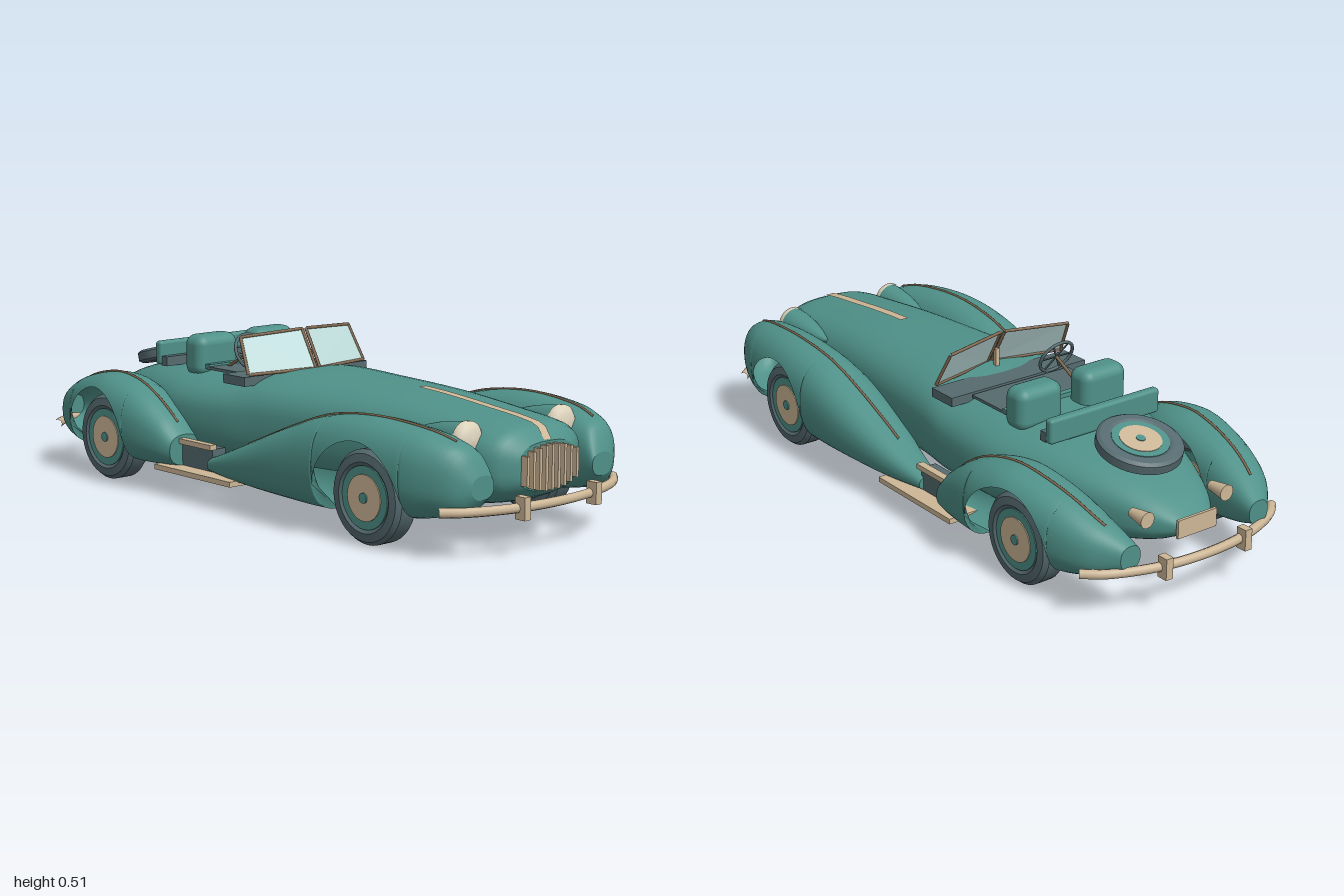
import * as THREE from 'three';
import { toCreasedNormals } from 'three/addons/utils/BufferGeometryUtils.js';
import { RoundedBoxGeometry } from 'three/addons/geometries/RoundedBoxGeometry.js';

const V = (x, y, z) => new THREE.Vector3(x, y, z);
const mat = (name, color, side = THREE.FrontSide) => {
  const m = new THREE.MeshStandardMaterial({ color, side });
  m.name = name;
  return m;
};

// Smooth interpolation of table rows [z, a, b, ...] sorted by falling z
function sample(rows, z) {
  let i = 0;
  while (i < rows.length - 2 && z < rows[i + 1][0]) i++;
  const p = rows[i], q = rows[i + 1], h = q[0] - p[0];
  const t = (z - p[0]) / h;
  const slope = (k, c) => {
    const a = rows[Math.max(k - 1, 0)], b = rows[Math.min(k + 1, rows.length - 1)];
    return (b[c] - a[c]) / (b[0] - a[0]);
  };
  return p.slice(1).map((v, n) => {
    const c = n + 1, t2 = t * t, t3 = t2 * t;
    return v * (2 * t3 - 3 * t2 + 1) + q[c] * (3 * t2 - 2 * t3)
      + h * (slope(i, c) * (t3 - 2 * t2 + t) + slope(i + 1, c) * (t3 - t2));
  });
}

// Skin over sections running front to back, points counterclockwise seen from the front
function loft(sections, capped = true) {
  const pos = [], idx = [], n = sections[0].length;
  sections.forEach(s => s.forEach(p => pos.push(p.x, p.y, p.z)));
  for (let i = 0; i < sections.length - 1; i++) {
    for (let j = 0; j < n - 1; j++) {
      const a = i * n + j, b = a + n;
      idx.push(a, b, a + 1, b, b + 1, a + 1);
    }
  }
  const cap = (s, flip) => {
    const base = pos.length / 3, mid = V(0, 0, 0);
    s.forEach(p => { pos.push(p.x, p.y, p.z); mid.addScaledVector(p, 1 / n); });
    pos.push(mid.x, mid.y, mid.z);
    for (let j = 0; j < n - 1; j++) {
      if (flip) idx.push(base + n, base + j + 1, base + j);
      else idx.push(base + n, base + j, base + j + 1);
    }
  };
  if (capped) { cap(sections[0], false); cap(sections[sections.length - 1], true); }
  const g = new THREE.BufferGeometry();
  g.setAttribute('position', new THREE.Float32BufferAttribute(pos, 3));
  g.setIndex(idx);
  g.computeVertexNormals();
  return g;
}

// Rounded section between x0..x1 and y0..y1, open below height cut
function section(x0, x1, y1, y0, z, power, cut, steps) {
  const cx = (x0 + x1) / 2, cy = (y0 + y1) / 2, rx = (x1 - x0) / 2, ry = (y1 - y0) / 2;
  const pw = v => Math.sign(v) * Math.abs(v) ** (2 / power);
  const k = THREE.MathUtils.clamp((cut - cy) / ry, -1, 0.98);
  const start = Math.asin(Math.sign(k) * Math.abs(k) ** (power / 2));
  return Array.from({ length: steps + 1 }, (_, j) => {
    const a = start + (Math.PI - 2 * start) * j / steps;
    return V(cx + rx * pw(Math.cos(a)), cy + ry * pw(Math.sin(a)), z);
  });
}

const range = (a, b, n) => Array.from({ length: n + 1 }, (_, i) => a + (b - a) * i / n);

// Body rows: z, half width, top, bottom
const BODY = [[0.935, 0.115, 0.3, 0.165], [0.91, 0.16, 0.333, 0.145], [0.86, 0.185, 0.347, 0.125],
  [0.75, 0.195, 0.36, 0.105], [0.5, 0.212, 0.383, 0.092], [0.2, 0.24, 0.392, 0.09], [0, 0.262, 0.393, 0.09],
  [-0.12, 0.277, 0.375, 0.09], [-0.35, 0.285, 0.37, 0.092], [-0.5, 0.255, 0.365, 0.097], [-0.62, 0.22, 0.35, 0.103],
  [-0.75, 0.172, 0.318, 0.12], [-0.86, 0.12, 0.275, 0.15], [-0.93, 0.065, 0.235, 0.185]];
// Wing rows: z, inner x, outer x, top, bottom
const FRONT_WING = [[0.925, 0.2, 0.285, 0.235, 0.168], [0.9, 0.198, 0.325, 0.295, 0.135], [0.85, 0.197, 0.36, 0.325, 0.118],
  [0.76, 0.197, 0.392, 0.347, 0.1], [0.58, 0.2, 0.414, 0.358, 0.08], [0.4, 0.2, 0.414, 0.337, 0.072], [0.25, 0.205, 0.408, 0.287, 0.075],
  [0.1, 0.225, 0.39, 0.225, 0.08], [0, 0.25, 0.372, 0.183, 0.086], [-0.115, 0.275, 0.345, 0.138, 0.095]];
const REAR_WING = [[-0.25, 0.26, 0.38, 0.19, 0.095], [-0.3, 0.25, 0.397, 0.24, 0.09], [-0.4, 0.23, 0.418, 0.305, 0.085],
  [-0.5, 0.205, 0.426, 0.335, 0.085], [-0.6, 0.2, 0.421, 0.341, 0.085], [-0.75, 0.198, 0.387, 0.31, 0.09],
  [-0.86, 0.198, 0.342, 0.262, 0.112], [-0.94, 0.2, 0.27, 0.215, 0.145]];

export function createModel() {
  const car = new THREE.Group();
  car.name = 'roadster';
  const paint = mat('teal paint', 0x4f9189, THREE.DoubleSide);
  const chrome = mat('beige trim', 0xcdb797);
  const lens = mat('cream lens', 0xe0d6bf);
  const rubber = mat('slate rubber', 0x566b70);
  const bronze = mat('brown trim', 0x806850);
  const glass = mat('pale glass', 0xbfdddc, THREE.DoubleSide);

  const add = (parent, name, geometry, material, x = 0, y = 0, z = 0) => {
    const m = new THREE.Mesh(geometry, material);
    m.name = name;
    m.position.set(x, y, z);
    parent.add(m);
    return m;
  };
  const box = (parent, name, material, w, h, d, x, y, z) =>
    add(parent, name, new THREE.BoxGeometry(w, h, d), material, x, y, z);
  const tube = (parent, name, points, radius, material, steps = 40) =>
    add(parent, name, new THREE.TubeGeometry(new THREE.CatmullRomCurve3(points), steps, radius, 8), material);

  // Main body
  add(car, 'body', loft(range(0.935, -0.93, 70).map(z => {
    const [w, top, bottom] = sample(BODY, z);
    return section(-w, w, top, bottom, z, 2.8, -1, 48);
  })), paint);

  // Bonnet strip and grille bars
  add(car, 'bonnetStrip', loft(range(0.935, 0.45, 20).map(z => {
    const y = sample(BODY, z)[1] + 0.004;
    return [V(0.015, y, z), V(-0.015, y, z)];
  }), false), chrome);
  for (let i = -4; i <= 4; i++) {
    const h = 0.128 - 0.0028 * i * i;
    box(car, 'grilleBar', chrome, 0.01, h, 0.03, i * 0.025, 0.23, 0.942);
  }

  // Wheel with its axis along y
  const tyre = toCreasedNormals(new THREE.LatheGeometry([[0, -0.034], [0.088, -0.034], [0.1, -0.043], [0.124, -0.04],
    [0.135, -0.026], [0.135, 0.026], [0.124, 0.04], [0.1, 0.043], [0.088, 0.034], [0, 0.034]]
    .map(p => new THREE.Vector2(...p)), 40), 0.5);
  const makeWheel = name => {
    const w = new THREE.Group();
    w.name = name;
    add(w, 'tyre', tyre, rubber);
    [['rim', 0.09, 0.078, paint], ['hubcap', 0.066, 0.084, chrome], ['hubNut', 0.015, 0.092, paint]]
      .forEach(([n, r, h, m]) => add(w, n, new THREE.CylinderGeometry(r, r, h, 32), m));
    return w;
  };

  // Wing open around its wheel, with a crest strip
  const makeWing = (parent, name, rows, wheelZ, stripFrom, stripTo) => {
    const R = 0.162, first = rows[0][0], last = rows[rows.length - 1][0];
    const zs = range(first, last, 70);
    for (const e of [-R, R]) zs.push(wheelZ + e - 0.001, wheelZ + e + 0.001);
    zs.sort((a, b) => b - a);
    add(parent, name, loft(zs.map(z => {
      const [x0, x1, top, bottom] = sample(rows, z), d = z - wheelZ;
      const cut = Math.abs(d) < R ? 0.138 + Math.sqrt(R * R - d * d) : -1;
      return section(x0, x1, top, bottom, z, 2.4, cut, 32);
    })), paint);
    tube(parent, name + 'Strip', range(stripFrom, stripTo, 14).map(z => {
      const [x0, x1, top] = sample(rows, z);
      return V((x0 + x1) / 2, top + 0.001, z);
    }), 0.004, bronze);
  };

  // Parts repeated on both sides
  for (const s of [1, -1]) {
    const side = new THREE.Group();
    side.name = s > 0 ? 'leftSide' : 'rightSide';
    side.scale.x = s;
    car.add(side);
    makeWing(side, 'frontWing', FRONT_WING, 0.59, 0.86, 0.04);
    makeWing(side, 'rearWing', REAR_WING, -0.6, -0.28, -0.87);
    for (const [n, z] of [['frontWheel', 0.59], ['rearWheel', -0.6]]) {
      const w = makeWheel(n);
      w.rotation.z = -Math.PI / 2;
      w.position.set(0.322, 0.137, z);
      side.add(w);
    }
    box(side, 'runningBoard', chrome, 0.1, 0.016, 0.36, 0.335, 0.088, -0.14);
    box(side, 'sillBar', chrome, 0.024, 0.016, 0.16, 0.332, 0.172, -0.18);
    box(side, 'sillPanel', rubber, 0.05, 0.07, 0.15, 0.305, 0.13, -0.18);

    // Headlamp: tapering shell and domed lens
    const shell = new THREE.LatheGeometry([[0.004, -0.2], [0.022, -0.15], [0.038, -0.09], [0.047, -0.03], [0.049, 0]]
      .map(p => new THREE.Vector2(...p)), 28);
    add(side, 'headlampShell', shell, paint, 0.19, 0.31, 0.81).rotation.x = Math.PI / 2;
    const dome = new THREE.LatheGeometry([[0.051, -0.008], [0.052, 0.008], [0.042, 0.018], [0.022, 0.024], [0, 0.026]]
      .map(p => new THREE.Vector2(...p)), 28);
    add(side, 'headlampLens', dome, lens, 0.19, 0.31, 0.812).rotation.x = Math.PI / 2;
    add(side, 'tailLamp', new THREE.CylinderGeometry(0.014, 0.024, 0.065, 20), chrome, 0.145, 0.25, -0.87).rotation.x = Math.PI / 2;

    // Windscreen half: glass and slim frame
    const c = [V(0.008, 0.39, 0), V(0.235, 0.387, -0.05), V(0.22, 0.494, -0.104), V(0.008, 0.505, -0.065)];
    const pane = new THREE.BufferGeometry().setFromPoints([c[0], c[1], c[2], c[0], c[2], c[3]]);
    pane.computeVertexNormals();
    add(side, 'windscreenGlass', pane, glass);
    c.forEach((p, i) => {
      const q = c[(i + 1) % 4];
      add(side, 'windscreenFrame', new THREE.TubeGeometry(new THREE.LineCurve3(p, q), 1, 0.005, 8), bronze);
    });

    add(side, 'seatBack', new RoundedBoxGeometry(0.16, 0.13, 0.09, 4, 0.032), paint, 0.118, 0.405, -0.368);
    for (const z of [0.98, -0.98]) box(side, 'overrider', chrome, 0.024, 0.064, 0.036, 0.145, 0.142, z);
  }

  // Cockpit: scuttle, floor and rear rail
  box(car, 'scuttle', rubber, 0.5, 0.028, 0.1, 0, 0.367, -0.1);
  box(car, 'scuttlePost', chrome, 0.012, 0.055, 0.012, 0, 0.415, -0.035);
  box(car, 'cockpitFloor', rubber, 0.36, 0.009, 0.16, 0, 0.372, -0.235);
  box(car, 'cockpitRail', paint, 0.36, 0.014, 0.02, 0, 0.376, -0.312);
  add(car, 'rearRail', new RoundedBoxGeometry(0.4, 0.075, 0.03, 3, 0.01), paint, 0, 0.396, -0.535);
  box(car, 'rearRailLedge', rubber, 0.39, 0.03, 0.025, 0, 0.372, -0.508);

  // Steering wheel and column
  const steering = new THREE.Group();
  steering.name = 'steeringWheel';
  steering.position.set(-0.118, 0.432, -0.175);
  steering.rotation.x = -0.46;
  car.add(steering);
  add(steering, 'steeringRim', new THREE.TorusGeometry(0.058, 0.005, 8, 32), rubber);
  for (let i = 0; i < 3; i++) {
    box(steering, 'spoke', rubber, 0.114, 0.005, 0.004, 0, 0, 0).rotation.z = i * Math.PI / 3;
  }
  add(car, 'steeringColumn', new THREE.TubeGeometry(
    new THREE.LineCurve3(V(-0.118, 0.432, -0.175), V(-0.118, 0.372, -0.29)), 1, 0.005, 8), bronze);

  // Spare wheel lying on the tail
  const spare = makeWheel('spareWheel');
  spare.scale.set(0.93, 0.5, 0.93);
  spare.rotation.x = -0.25;
  spare.position.set(0, 0.363, -0.695);
  car.add(spare);

  // Bumpers and rear plate
  const bumper = (name, s) => tube(car, name, [[-0.355, 0.87], [-0.3, 0.915], [-0.16, 0.967], [0, 0.984],
    [0.16, 0.967], [0.3, 0.915], [0.355, 0.87]].map(([x, z]) => V(x, 0.141, s * z)), 0.014, chrome);
  bumper('frontBumper', 1);
  bumper('rearBumper', -1);
  box(car, 'rearPlate', chrome, 0.14, 0.055, 0.009, 0, 0.215, -0.94);
  return car;
}
